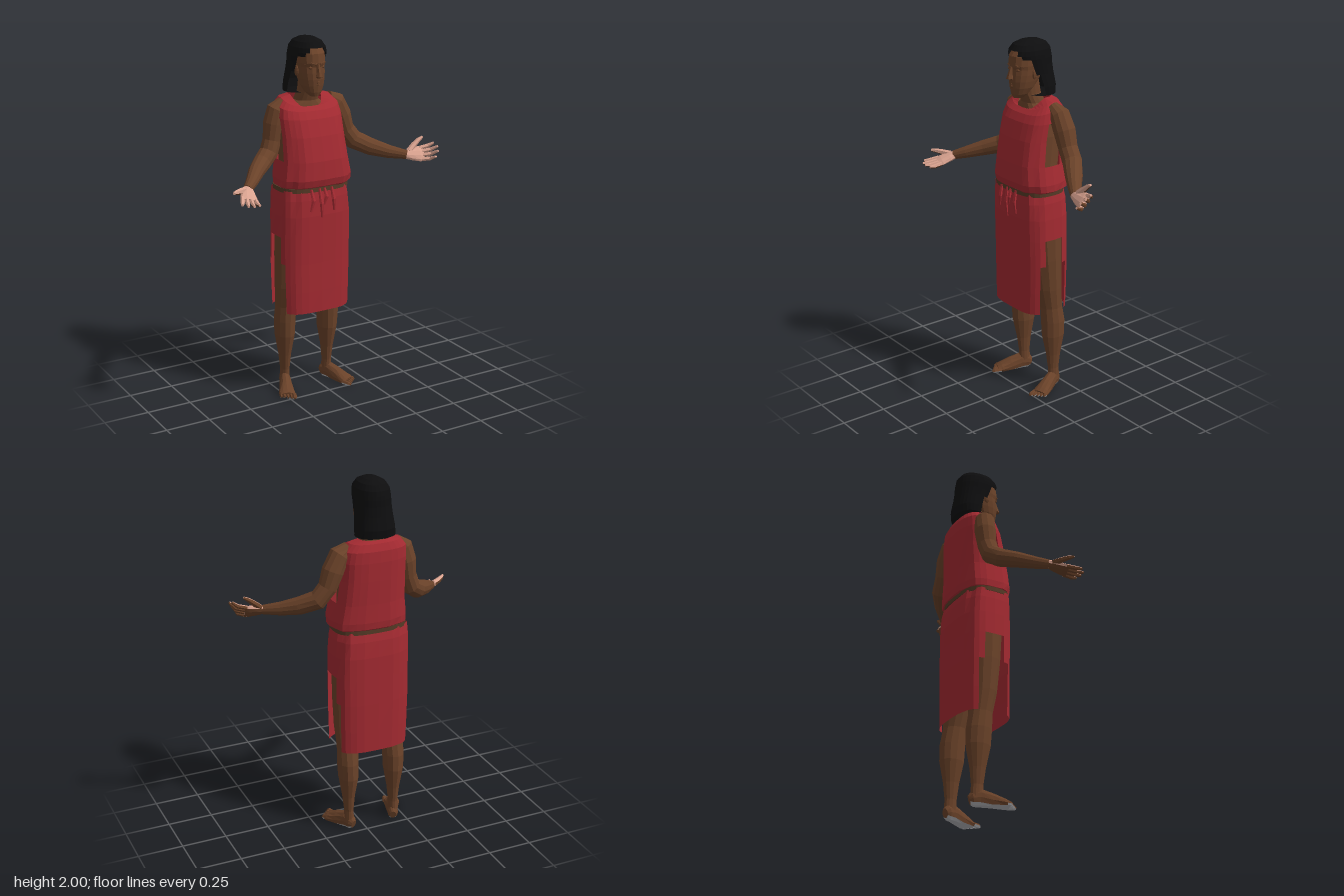
import * as THREE from 'three';

const mat = (name, color, open) => {
  const m = new THREE.MeshStandardMaterial({ color, flatShading: true });
  m.name = name;
  if (open) m.side = THREE.DoubleSide;
  return m;
};
const V = (x, y, z) => new THREE.Vector3(x, y, z);
const CX = -0.055; // middle of the body

// Skin over rings of points; pick(i, angle) gives a material index, or -1 for a gap
function loft(rings, { caps = true, pick = () => 0 } = {}) {
  const n = rings[0].length, buckets = [[], []];
  const tri = (k, ...p) => p.forEach(q => buckets[k].push(q.x, q.y, q.z));
  for (let i = 0; i < rings.length - 1; i++) {
    for (let j = 0; j < n; j++) {
      const k = pick(i, ((j + 0.5) / n) * Math.PI * 2);
      if (k < 0) continue;
      const j2 = (j + 1) % n, a = rings[i], b = rings[i + 1];
      tri(k, a[j], b[j], a[j2]);
      tri(k, a[j2], b[j], b[j2]);
    }
  }
  if (caps) [rings[0], rings[rings.length - 1]].forEach((r, end) => {
    const c = r.reduce((s, p) => s.add(p), V(0, 0, 0)).divideScalar(n);
    for (let j = 0; j < n; j++) {
      const p = r[j], q = r[(j + 1) % n];
      if (end) tri(0, c, q, p); else tri(0, c, p, q);
    }
  });
  const g = new THREE.BufferGeometry();
  g.setAttribute('position', new THREE.Float32BufferAttribute(buckets.flat(), 3));
  g.addGroup(0, buckets[0].length / 3, 0);
  g.addGroup(buckets[0].length / 3, buckets[1].length / 3, 1);
  g.computeVertexNormals();
  return g;
}

// Level rings from rows [y, cx, cz, rx, rz, fold, frontDrop]
function levels(rows, n = 16, pow = 1) {
  const sq = v => Math.sign(v) * Math.abs(v) ** pow;
  return rows.map(([y, cx, cz, rx, rz, fold = 0, drop = 0], i) =>
    Array.from({ length: n }, (_, j) => {
      const a = (j / n) * Math.PI * 2;
      const f = 1 + fold * (Math.sin(7 * a + i * 0.3) + 0.7 * Math.sin(11 * a + 2 + i * 0.5));
      return V(cx + rx * f * sq(Math.cos(a)), y - drop * Math.max(0, Math.sin(a)), cz + rz * f * sq(Math.sin(a)));
    }));
}

// Rings across a path of [x, y, z, halfWidth, halfHeight]
function along(path, up, n = 10) {
  const p = path.map(q => V(q[0], q[1], q[2]));
  return path.map(([, , , w, h = w], i) => {
    const t = p[Math.min(i + 1, p.length - 1)].clone().sub(p[Math.max(i - 1, 0)]).normalize();
    const v = up.clone().addScaledVector(t, -up.dot(t)).normalize();
    const u = t.clone().cross(v);
    return Array.from({ length: n }, (_, j) => {
      const a = (j / n) * Math.PI * 2;
      return p[i].clone().addScaledVector(u, w * Math.cos(a)).addScaledVector(v, h * Math.sin(a));
    });
  });
}

export function createModel() {
  const skin = mat('skin', 0x6a4229), palm = mat('palm', 0xd9a28f), sole = mat('sole', 0xb4b4b8);
  const cloth = mat('red cloth', 0xa32a31, true), black = mat('black hair', 0x0e0e0f, true);
  const cord = mat('cord', 0x553a26);
  const model = new THREE.Group();
  const add = (name, geo, material, parent = model) => {
    const m = new THREE.Mesh(geo, material);
    m.name = name;
    parent.add(m);
    return m;
  };
  const Y = V(0, 1, 0), Z = V(0, 0, 1);
  const sideways = a => Math.abs(Math.sin(a));

  // Body and neck under the clothes
  add('torso', loft(levels([
    [0.92, CX, -0.13, 0.17, 0.1], [1.05, CX, -0.125, 0.185, 0.115], [1.2, CX, -0.115, 0.175, 0.105],
    [1.35, CX, -0.125, 0.172, 0.115], [1.5, -0.06, -0.14, 0.176, 0.115], [1.58, -0.06, -0.148, 0.165, 0.1],
    [1.63, -0.065, -0.152, 0.11, 0.075], [1.66, -0.065, -0.145, 0.065, 0.062],
    [1.71, -0.065, -0.125, 0.052, 0.058], [1.78, -0.065, -0.115, 0.05, 0.055],
  ], 16, 0.85)), skin);

  // Sleeveless top, bloused over the waist, open at neck and arms
  add('tunic', loft(levels([
    [1.19, CX, -0.115, 0.185, 0.12, 0.01], [1.212, -0.047, -0.115, 0.212, 0.142, 0.02],
    [1.25, -0.047, -0.112, 0.213, 0.15, 0.018], [1.35, -0.05, -0.115, 0.197, 0.147, 0.014],
    [1.48, CX, -0.13, 0.19, 0.136, 0.01], [1.58, -0.058, -0.145, 0.19, 0.122, 0.006, 0.01],
    [1.64, -0.06, -0.155, 0.18, 0.108, 0.003, 0.03], [1.677, -0.063, -0.16, 0.145, 0.086, 0, 0.045],
    [1.69, -0.065, -0.157, 0.088, 0.072, 0, 0.062],
  ], 28, 0.72), { caps: false, pick: (i, a) => (i >= 3 && i <= 4 && sideways(a) < 0.25 ? -1 : 0) }), cloth);

  // Skirt with a slit at each side
  add('skirt', loft(levels([
    [0.495, CX, -0.125, 0.206, 0.141, 0.006], [0.62, CX, -0.125, 0.21, 0.143, 0.006],
    [0.78, CX, -0.125, 0.213, 0.144, 0.006], [0.93, CX, -0.122, 0.213, 0.145, 0.008],
    [1.05, CX, -0.12, 0.211, 0.146, 0.01], [1.14, -0.057, -0.118, 0.206, 0.14, 0.02],
    [1.195, -0.06, -0.115, 0.198, 0.13, 0.025],
  ], 28, 0.62), { caps: false, pick: (i, a) => (i < 3 && sideways(a) < (i < 2 ? 0.43 : 0.22) ? -1 : 0) }), cloth);

  add('belt', loft(levels([
    [1.183, CX, -0.115, 0.205, 0.137], [1.208, CX, -0.115, 0.205, 0.137],
  ], 28, 0.7)), cord);
  [[-0.125, 0.12], [-0.075, 0.16], [-0.045, 0.09], [0.0, 0.13]].forEach(([x, len], i) =>
    add('sashEnd', loft(along([
      [x, 1.2, 0.018, 0.008], [x + 0.006, 1.2 - len * 0.5, 0.036, 0.013, 0.008],
      [x + (i % 2 ? 0.012 : -0.008), 1.2 - len, 0.03, 0.007, 0.004],
    ], Z, 5)), cloth));

  // Legs and splayed feet
  for (const s of [-1, 1]) {
    const o = CX + 0.003, name = s < 0 ? 'right' : 'left';
    add(name + 'Leg', loft(levels([
      [0.045, 0.136, -0.185, 0.027, 0.036], [0.11, 0.136, -0.182, 0.025, 0.033], [0.2, 0.137, -0.18, 0.034, 0.044],
      [0.32, 0.137, -0.178, 0.054, 0.068], [0.41, 0.138, -0.174, 0.058, 0.07], [0.5, 0.135, -0.163, 0.058, 0.064],
      [0.62, 0.127, -0.147, 0.076, 0.075], [0.8, 0.115, -0.136, 0.093, 0.088], [1.0, 0.105, -0.13, 0.1, 0.1],
    ].map(r => [r[0], o + s * r[1], ...r.slice(2)]), 12)), skin);

    const foot = new THREE.Group();
    foot.name = name + 'Foot';
    foot.position.set(o + s * 0.136, 0, -0.185);
    foot.rotation.y = s * 0.36;
    model.add(foot);
    const flat = rings => (rings.flat().forEach(p => { p.y = Math.max(p.y, 0); }), rings);
    const under = { pick: (i, a) => (Math.sin(a) < -0.3 ? 1 : 0) };
    add('footBody', loft(flat(along([
      [0, 0.03, -0.038, 0.018, 0.025], [0, 0.035, -0.02, 0.029, 0.042], [0, 0.04, 0.02, 0.031, 0.052],
      [s * 0.003, 0.025, 0.08, 0.038, 0.045], [s * 0.006, 0.014, 0.14, 0.046, 0.028], [s * 0.006, 0.011, 0.165, 0.043, 0.018],
    ], Y, 12)), under), [skin, sole], foot);
    for (let k = 0; k < 5; k++) {
      const x = s * (-0.03 + k * 0.018), r = k ? 0.009 : 0.014, end = 0.205 - k * 0.008;
      add('toe', loft(flat(along([
        [x, 0.011, 0.15, r, 0.012], [x, 0.011, end - 0.012, r, 0.012], [x, 0.008, end, r * 0.5, 0.006],
      ], Y, 6)), under), [skin, sole], foot);
    }
  }

  // Arms
  add('rightArm', loft(along([
    [-0.19, 1.65, -0.16, 0.035], [-0.228, 1.615, -0.165, 0.056], [-0.245, 1.54, -0.17, 0.06],
    [-0.26, 1.45, -0.168, 0.051], [-0.285, 1.385, -0.16, 0.052], [-0.34, 1.345, -0.13, 0.05],
    [-0.41, 1.318, -0.065, 0.043], [-0.475, 1.29, 0.01, 0.033], [-0.525, 1.27, 0.06, 0.025],
  ], V(0.3, 0, 1), 12)), skin);
  add('leftArm', loft(along([
    [0.08, 1.65, -0.165, 0.035], [0.13, 1.62, -0.17, 0.056], [0.17, 1.54, -0.175, 0.06],
    [0.2, 1.455, -0.175, 0.052], [0.25, 1.39, -0.165, 0.053], [0.33, 1.35, -0.11, 0.048],
    [0.41, 1.325, -0.05, 0.037], [0.49, 1.31, 0.01, 0.025],
  ], V(-0.3, 0, 1), 12)), skin);

  // Hands: fingers along local z, palm facing local y, thumb on side s
  function hand(name, s, wrist, dir, face, curl) {
    const g = new THREE.Group();
    g.name = name;
    const z = dir.normalize(), x = face.cross(z).normalize(), y = z.clone().cross(x);
    g.setRotationFromMatrix(new THREE.Matrix4().makeBasis(x, y, z));
    g.position.copy(wrist);
    model.add(g);
    const two = { pick: (i, a) => (Math.sin(a) > -0.35 ? 0 : 1) };
    const part = (n, path, sides) => add(n, loft(along(path, Y, sides), two), [palm, skin], g);
    part('palm', [[0, 0, -0.012, 0.023, 0.021], [0, 0, 0.025, 0.036, 0.02], [0, 0, 0.075, 0.046, 0.017], [0, 0, 0.1, 0.042, 0.012]], 10);
    [0.075, 0.09, 0.085, 0.065].forEach((len, k) => {
      const fx = s * (0.034 - k * 0.0225), out = fx * 0.35, c = curl * (1 + k * 0.3);
      part('finger', [[fx, 0, 0.085, 0.012], [fx + out * 0.5, len * c * 0.35, 0.095 + len * 0.5, 0.0115],
        [fx + out, len * c, 0.095 + len * (1 - c * 0.3), 0.007]], 6);
    });
    part('thumb', [[s * 0.018, 0.003, 0.015, 0.018], [s * 0.052, 0.012, 0.05, 0.016], [s * 0.076, 0.022, 0.08, 0.012], [s * 0.088, 0.03, 0.103, 0.007]], 6);
  }
  hand('rightHand', -1, V(-0.525, 1.27, 0.06), V(-0.08, -0.075, 0.2), V(0.1, 0.9, 0.4), 0.15);
  hand('leftHand', 1, V(0.49, 1.31, 0.01), V(0.19, -0.005, 0.03), V(-0.05, 0.55, 0.8), 0.5);

  // Head and face
  const hx = -0.067;
  add('head', loft(levels([
    [1.693, hx, -0.05, 0.024, 0.03], [1.715, hx, -0.062, 0.044, 0.05], [1.75, hx, -0.075, 0.06, 0.069],
    [1.785, hx, -0.085, 0.068, 0.083], [1.82, hx, -0.095, 0.073, 0.092], [1.85, hx, -0.1, 0.074, 0.094],
    [1.87, hx, -0.1, 0.076, 0.101], [1.92, hx, -0.108, 0.075, 0.103], [1.96, hx, -0.12, 0.062, 0.085],
  ], 16, 0.9)), skin);
  add('nose', loft(along([
    [hx, 1.795, 0, 0.013, 0.006], [hx, 1.803, 0.006, 0.019, 0.021], [hx, 1.825, 0.002, 0.012, 0.017], [hx, 1.865, -0.004, 0.009, 0.008],
  ], Z, 6)), skin);
  for (const y of [1.758, 1.77]) {
    add('lip', loft(along([[hx - 0.026, y, -0.02, 0.003], [hx, y, -0.007, 0.007, 0.008], [hx + 0.026, y, -0.02, 0.003]], Z, 6)), skin);
  }
  for (const s of [-1, 1]) {
    add('brow', loft(along([
      [hx + s * 0.01, 1.867, -0.004, 0.006], [hx + s * 0.035, 1.872, -0.012, 0.007], [hx + s * 0.06, 1.864, -0.042, 0.005],
    ], Z, 6)), skin);
    const lid = add('eyelid', new THREE.SphereGeometry(0.013, 8, 6), skin);
    lid.position.set(hx + s * 0.033, 1.848, -0.021);
    lid.scale.set(1.2, 0.7, 0.8);
    const ear = add('ear', new THREE.SphereGeometry(0.024, 8, 6), skin);
    ear.position.set(hx + s * 0.077, 1.825, -0.1);
    ear.scale.set(0.4, 1.2, 0.7);
  }

  // Shoulder-length hair, open around the face
  const gap = [0.3, 0.3, 0.35, 0.5, 0.75, 0.85];
  add('hair', loft(levels([
    [1.705, hx, -0.175, 0.108, 0.085, 0.006], [1.75, hx, -0.17, 0.106, 0.097, 0.006], [1.82, hx, -0.152, 0.097, 0.103, 0.005],
    [1.87, hx, -0.137, 0.094, 0.112, 0.004], [1.905, hx, -0.128, 0.094, 0.12, 0.003], [1.925, hx, -0.123, 0.092, 0.122, 0.003],
    [1.95, hx, -0.123, 0.087, 0.117], [1.978, hx, -0.123, 0.069, 0.095], [1.995, hx, -0.123, 0.038, 0.055], [2, hx, -0.123, 0.012, 0.02],
  ], 28, 0.9), { pick: (i, a) => (i < 6 && Math.sin(a) > gap[i] ? -1 : 0) }), black);

  return model;
}
